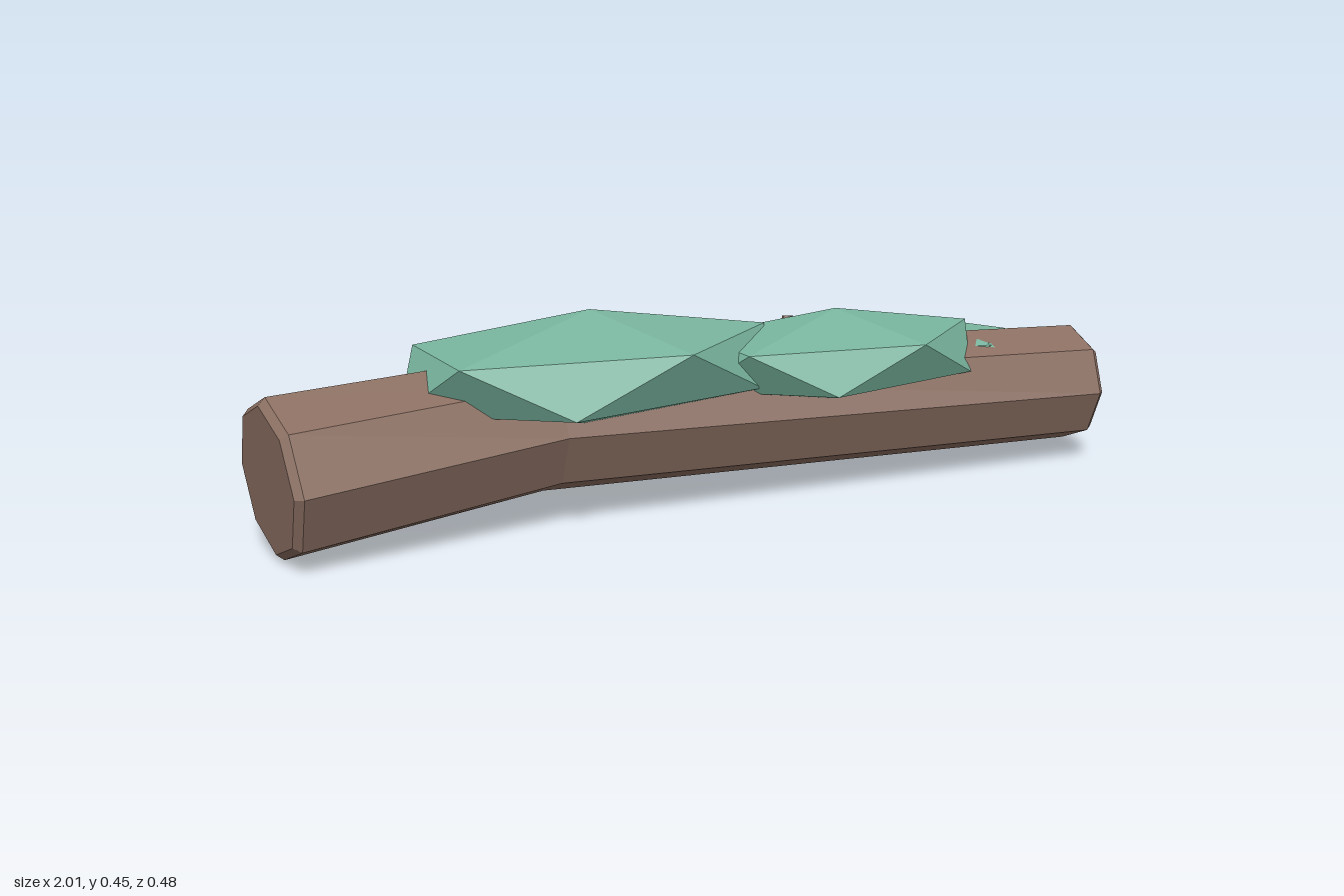
import * as THREE from 'three';

const SIDES = 8;

// Faceted tube through rings of { c: centre, t: axis direction, r: radius }, closed at both ends
function logGeometry(rings) {
  const up = new THREE.Vector3(0, 1, 0);
  const loops = rings.map(({ c, t, r }) => {
    const side = new THREE.Vector3().crossVectors(t, up).normalize();
    const top = new THREE.Vector3().crossVectors(side, t).normalize();
    return Array.from({ length: SIDES }, (_, i) => {
      const a = (i / SIDES) * Math.PI * 2;
      return c.clone().addScaledVector(top, r * Math.cos(a)).addScaledVector(side, r * Math.sin(a));
    });
  });
  const pts = [];
  const last = loops.length - 1;
  for (let i = 0; i < SIDES; i++) {
    const j = (i + 1) % SIDES;
    for (let k = 0; k < last; k++) {
      const a = loops[k][i], b = loops[k][j], c = loops[k + 1][j], d = loops[k + 1][i];
      pts.push(a, b, c, a, c, d);
    }
    pts.push(rings[0].c, loops[0][j], loops[0][i]);
    pts.push(rings[last].c, loops[last][i], loops[last][j]);
  }
  const g = new THREE.BufferGeometry().setFromPoints(pts);
  g.computeVertexNormals();
  return g;
}

// Squashed icosahedron with one corner straight up and its upper ring pointing to +x
function mossGeometry(rx, ry, rz) {
  const g = new THREE.IcosahedronGeometry(1, 0);
  g.rotateZ(-Math.atan(2 / (1 + Math.sqrt(5))));
  g.scale(rx, ry, rz);
  g.computeVertexNormals();
  return g;
}

export function createModel() {
  const model = new THREE.Group();
  const bark = new THREE.MeshStandardMaterial({ color: 0x8b6f62 });
  bark.name = 'bark brown';
  const green = new THREE.MeshStandardMaterial({ color: 0x78b49e });
  green.name = 'moss green';

  const add = (name, geometry, material, position) => {
    const mesh = new THREE.Mesh(geometry, material);
    mesh.name = name;
    if (position) mesh.position.set(...position);
    model.add(mesh);
    return mesh;
  };

  // Bent trunk with narrow bevels at the cut ends
  const left = new THREE.Vector3(-0.975, 0.175, 0.013);
  const bend = new THREE.Vector3(-0.38, 0.212, -0.03);
  const right = new THREE.Vector3(0.978, 0.175, 0.07);
  const t0 = bend.clone().sub(left).normalize();
  const t1 = right.clone().sub(bend).normalize();
  const tm = t0.clone().add(t1).normalize();
  add('log', logGeometry([
    { c: left.clone().addScaledVector(t0, -0.016), t: t0, r: 0.157 },
    { c: left, t: t0, r: 0.172 },
    { c: bend, t: tm, r: 0.155 },
    { c: right, t: t1, r: 0.141 },
    { c: right.clone().addScaledVector(t1, 0.014), t: t1, r: 0.129 },
  ]), bark);

  // Moss clumps: centre, then radii
  [
    ['largeMoss', [-0.27, 0.328, -0.01], [0.486, 0.127, 0.271]],
    ['middleMoss', [0.325, 0.305, 0.036], [0.408, 0.107, 0.239]],
    ['smallMoss', [0.64, 0.266, -0.03], [0.246, 0.081, 0.173]],
    ['mossSpeck', [0.71, 0.286, 0.107], [0.03, 0.02, 0.02]],
  ].forEach(([name, centre, radii]) => add(name, mossGeometry(...radii), green, centre));

  // Broken branch stubs: base, tip, base radius, tip radius
  const stub = (name, from, to, r0, r1) => {
    const a = new THREE.Vector3(...from), b = new THREE.Vector3(...to);
    const dir = b.clone().sub(a);
    const g = new THREE.CylinderGeometry(r1, r0, dir.length(), 5).toNonIndexed();
    g.computeVertexNormals();
    const mesh = add(name, g, bark);
    mesh.position.copy(a).lerp(b, 0.5);
    mesh.quaternion.setFromUnitVectors(new THREE.Vector3(0, 1, 0), dir.normalize());
  };
  stub('backBranchStub', [0.21, 0.215, -0.14], [0.18, 0.288, -0.203], 0.044, 0.037);
  stub('topBranchStub', [0.24, 0.3, -0.03], [0.25, 0.387, -0.042], 0.03, 0.018);

  return model;
}
